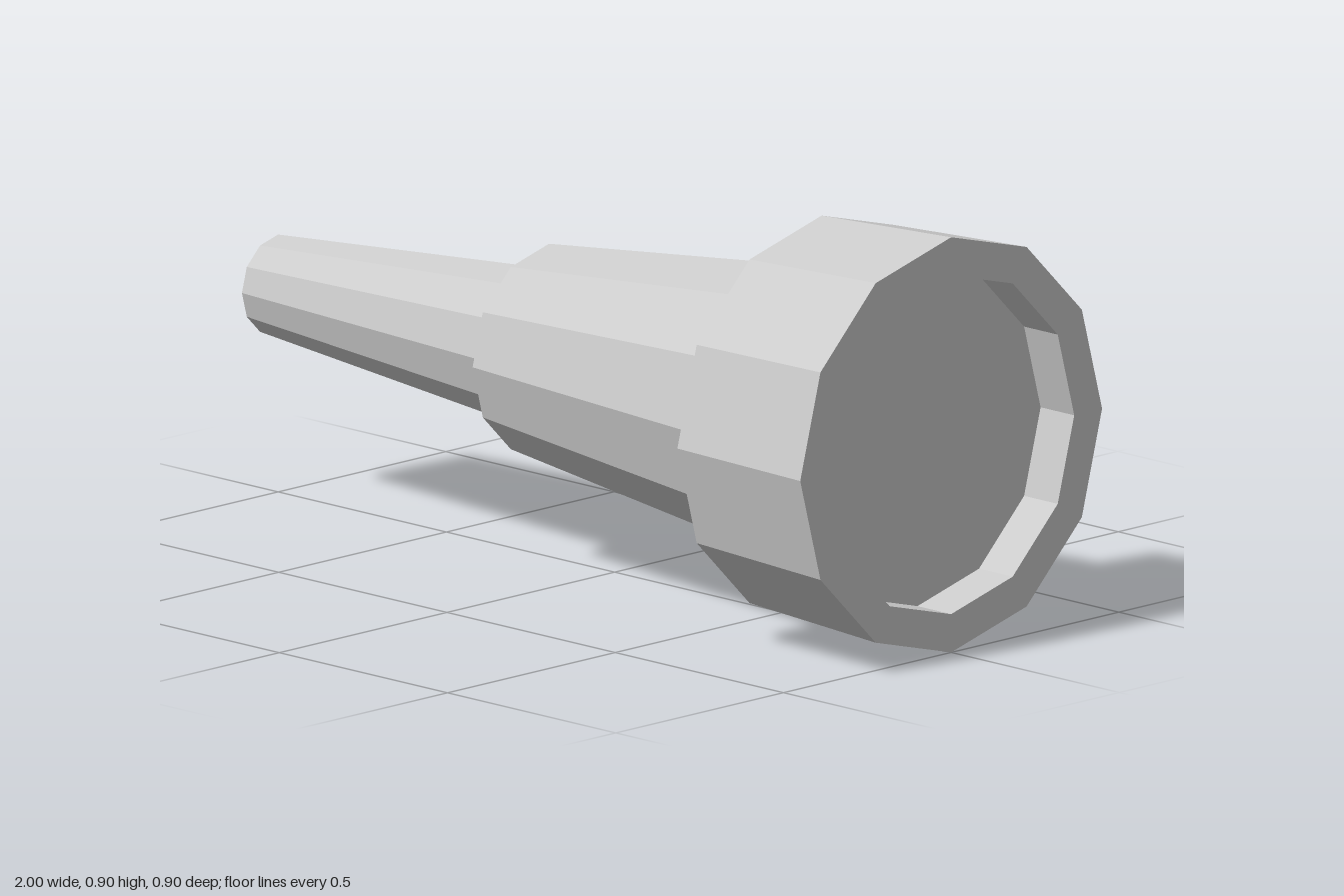
import * as THREE from 'three';

const SIDES = 12;
const AXIS_HEIGHT = 0.45;

// Faceted part turned around the x axis from [x, radius] pairs
function turned(name, profile, material) {
  const points = profile.map(([x, r]) => new THREE.Vector2(r, x));
  const geometry = new THREE.LatheGeometry(points, SIDES);
  geometry.rotateZ(-Math.PI / 2);
  const mesh = new THREE.Mesh(geometry, material);
  mesh.name = name;
  mesh.position.y = AXIS_HEIGHT;
  return mesh;
}

export function createModel() {
  const group = new THREE.Group();
  group.name = 'flashlight';
  const grey = new THREE.MeshStandardMaterial({ color: 0xcccccc, flatShading: true });

  // Slim handle with a closed tail
  group.add(turned('handle', [[-1, 0], [-1, 0.108], [-0.195, 0.174]], grey));

  // Wider tapered sleeve with a step at the handle
  group.add(turned('sleeve', [[-0.195, 0.174], [-0.195, 0.228], [0.605, 0.318]], grey));

  // Head: back shoulder, flared outside, front rim and recess wall
  group.add(turned('head', [
    [0.605, 0.318], [0.615, 0.43], [1, 0.45], [1, 0.367], [0.9, 0.367],
  ], grey));

  // Flat lens at the bottom of the recess
  group.add(turned('lens', [[0.9, 0.367], [0.9, 0]], grey));

  return group;
}
